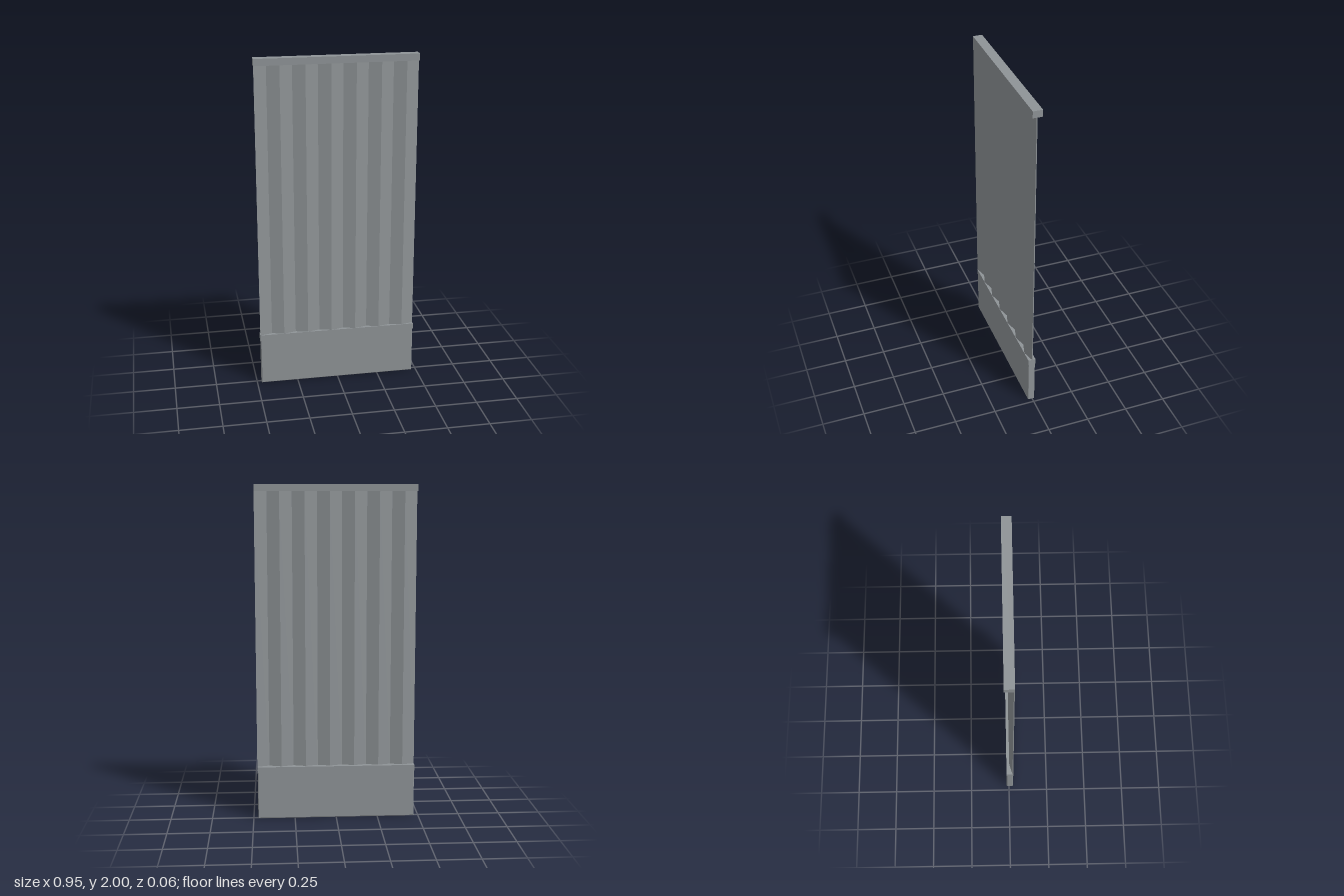
import * as THREE from 'three';

const WIDTH = 0.95;

export function createModel() {
  const group = new THREE.Group();
  group.name = 'corrugatedPanel';
  const metal = new THREE.MeshStandardMaterial({ color: 0x8e9396 });
  metal.name = 'galvanised grey';

  const add = (name, geometry, x, y, z) => {
    const mesh = new THREE.Mesh(geometry, metal);
    mesh.name = name;
    mesh.position.set(x, y, z);
    group.add(mesh);
  };

  // Zigzag sheet: 13 folds, starting on a front ridge at -x
  const folds = 13, ridge = 0.027, valley = 0.006, thickness = 0.005;
  const front = [], back = [];
  for (let i = 0; i <= folds; i++) {
    const x = -WIDTH / 2 + (WIDTH * i) / folds;
    const z = i % 2 ? valley : ridge;
    front.push(new THREE.Vector2(x, -z));
    back.unshift(new THREE.Vector2(x, -(z - thickness)));
  }
  const sheet = new THREE.ExtrudeGeometry(new THREE.Shape([...front, ...back]), {
    depth: 1.68, bevelEnabled: false,
  });
  sheet.rotateX(-Math.PI / 2);
  add('corrugatedSheet', sheet, 0, 0.3, 0);

  // Top rail
  add('topRail', new THREE.BoxGeometry(WIDTH, 0.04, 0.056), 0, 1.98, 0);

  // Plinth: upper lip over a slightly inset, chamfered body
  add('plinthLip', new THREE.BoxGeometry(WIDTH, 0.035, 0.044), 0, 0.3025, 0.006);
  const bevel = 0.004, halfW = WIDTH / 2 - 0.002 - bevel;
  const outline = new THREE.Shape([
    new THREE.Vector2(-halfW, bevel), new THREE.Vector2(halfW, bevel),
    new THREE.Vector2(halfW, 0.29), new THREE.Vector2(-halfW, 0.29),
  ]);
  const body = new THREE.ExtrudeGeometry(outline, {
    depth: 0.042 - 2 * bevel, bevelEnabled: true, bevelSegments: 1,
    bevelSize: bevel, bevelThickness: bevel,
  });
  add('plinthBody', body, 0, 0, 0.006 - 0.021 + bevel);

  return group;
}
